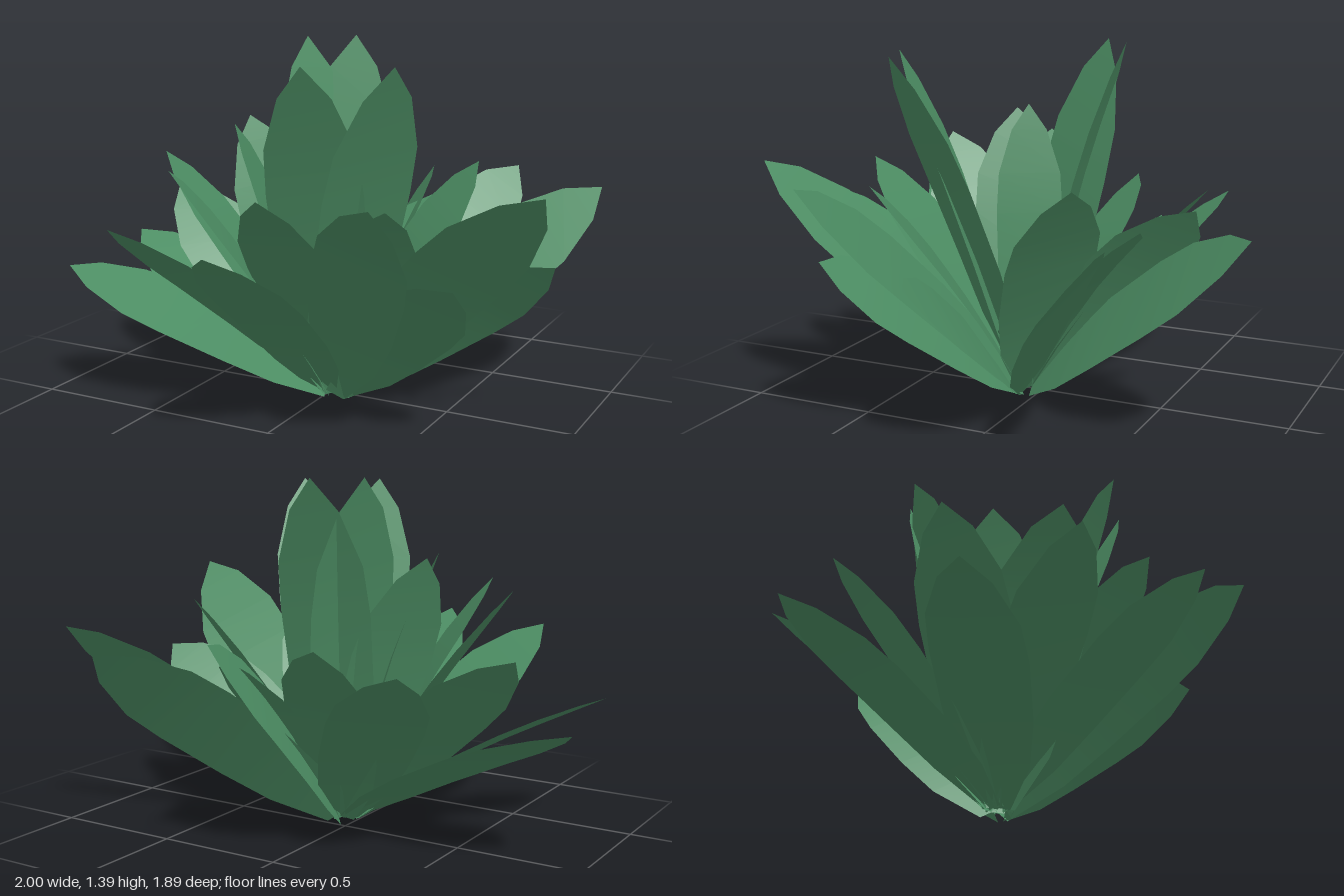
import * as THREE from 'three';

const leafGreen = new THREE.MeshStandardMaterial({ color: 0x4c8d63, side: THREE.DoubleSide });
leafGreen.name = 'leaf green';

// Outline of half a leaf: [distance along the leaf, share of the half width]
const OUTLINE = [[0, 0.28], [0.19, 0.77], [0.38, 0.94], [0.62, 1], [0.76, 0.93], [0.91, 0.53], [1, 0]];

// A thin, slightly arched blade. (wx, wz) is the heading of its width; the
// height of that vector follows from being square to the leaf's axis.
// (bx, bz) shifts the foot of the leaf.
function leafGeometry([x, y, z, wx, wz, bx = 0, bz = 0], half) {
  const base = new THREE.Vector3(0.04 + bx, 0.04, 0.05 + bz);
  const out = new THREE.Vector3(x - base.x, 0, z - base.z).normalize();
  base.addScaledVector(out, 0.03);
  const axis = new THREE.Vector3(x, y, z).sub(base);
  const side = new THREE.Vector3(wx, -(axis.x * wx + axis.z * wz) / axis.y, wz).normalize();
  const up = side.clone().cross(axis).normalize();
  if (up.y < 0) {
    up.negate();
    side.negate();
  }
  const points = [], index = [];
  OUTLINE.forEach(([t, s], i) => {
    const mid = base.clone().addScaledVector(axis, t).addScaledVector(up, 0.13 * t * (1 - t));
    for (const sign of [-1, 1]) points.push(mid.clone().addScaledVector(side, sign * s * half));
    if (i === 0) return;
    const a = 2 * i - 2;
    index.push(a, a + 2, a + 1);
    if (s > 0) index.push(a + 1, a + 2, a + 3);
  });
  const geometry = new THREE.BufferGeometry().setFromPoints(points);
  geometry.setIndex(index);
  geometry.computeVertexNormals();
  return geometry;
}

// Each leaf: tip x, y, z, width heading x, z and, for some, foot shift x, z
const OUTER = [
  [0.43, 0.81, -0.95, 0.15, -0.02],
  [0.90, 0.82, -0.59, 0.14, 0.07],
  [0.93, 0.65, 0.08, -0.07, 0.13, 0, 0.05],
  [1.00, 0.97, 0.44, -0.13, 0.105],
  [0.73, 0.65, 0.54, -0.13, 0.08],
  [0.58, 0.97, 0.87, -0.16, 0.025],
  [0.02, 0.77, 0.94, 0.18, 0, -0.025, 0],
  [-0.51, 0.77, 0.74, 0.15, 0.08],
  [-0.88, 0.54, 0.50, 0.055, 0.165],
  [-1.00, 0.54, -0.14, 0.05, -0.17],
  [-0.77, 0.77, -0.11, 0.09, -0.15],
  [-0.56, 0.77, -0.58, 0.11, -0.08],
];
const MIDDLE = [
  [-0.24, 0.83, -0.59, 0.16, -0.03],
  [0.15, 0.83, -0.67, 0.11, 0.11],
  [0.23, 0.75, -0.49, 0.16, 0.05],
  [0.48, 0.93, -0.33, 0.13, 0.12],
  [-0.60, 0.97, 0.23, 0.04, 0.17],
  [-0.35, 0.97, 0.58, 0.10, 0.12],
  [0.08, 0.92, 0.70, 0.17, 0],
  [0.46, 0.88, 0.49, -0.12, 0.09],
];
const INNER = [
  [-0.05, 1.40, -0.32, 0.17, -0.035],
  [-0.20, 1.40, -0.19, 0.08, -0.16],
  [0.16, 1.36, 0.53, 0.16, -0.05],
  [0.45, 1.36, 0.40, -0.10, 0.14],
  [-0.35, 1.10, 0.01, -0.08, 0.14],
  [-0.28, 1.10, 0.24, 0.06, 0.15],
];
const HEART = [[-0.05, 1.15, 0.08, 0.07, 0.10]];
const SPROUTS = [
  [-0.02, 0.32, -0.10, 0.1, 0.05],
  [0.10, 0.30, -0.12, 0.1, 0.1],
  [-0.22, 0.32, 0.05, 0.02, 0.1],
  [-0.10, 0.20, 0.14, 0.08, 0.1],
  [0.19, 0.30, 0.10, -0.02, 0.1],
];

function ring(name, leafName, rows, half) {
  const group = new THREE.Group();
  group.name = name;
  for (const row of rows) {
    const mesh = new THREE.Mesh(leafGeometry(row, half), leafGreen);
    mesh.name = leafName;
    group.add(mesh);
  }
  return group;
}

export function createModel() {
  const plant = new THREE.Group();
  plant.name = 'leafyPlant';
  plant.add(
    ring('outerLeaves', 'outerLeaf', OUTER, 0.18),
    ring('middleLeaves', 'middleLeaf', MIDDLE, 0.18),
    ring('innerLeaves', 'innerLeaf', INNER, 0.18),
    ring('heartLeaves', 'heartLeaf', HEART, 0.13),
    ring('sprouts', 'sprout', SPROUTS, 0.035),
  );
  return plant;
}
